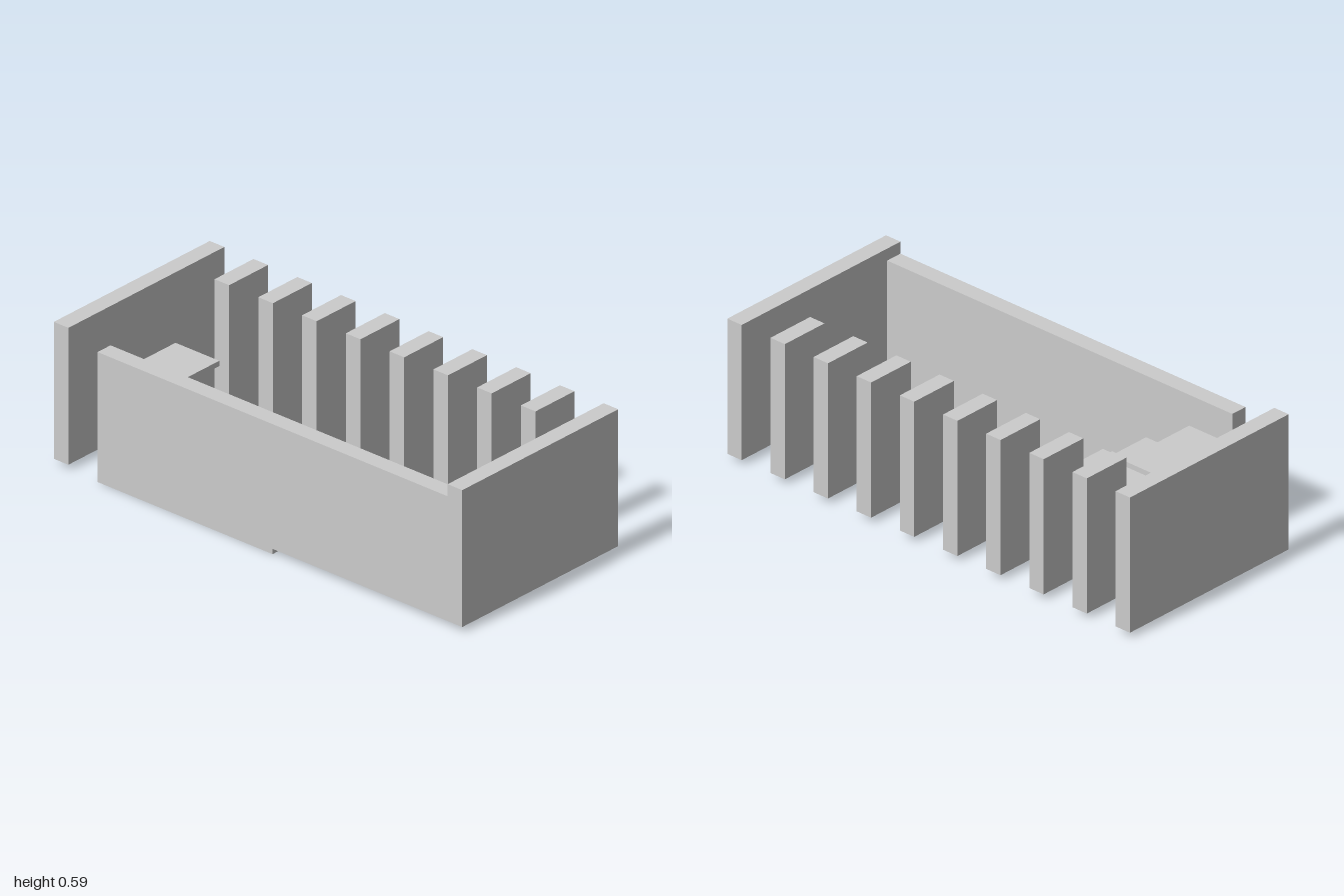
import * as THREE from 'three';

// Everything sits on a module of 1/14: 12 wide, 28 long
const U = 1 / 14;
const BASE = 0.3, TOP = 8.2, STEP = 1.8;

export function createModel() {
  const model = new THREE.Group();
  model.name = 'slattedEnclosure';
  const material = new THREE.MeshStandardMaterial({ color: 0xcccccc, flatShading: true });

  // Box given by its extents, in modules
  function block(name, [x0, x1], [y0, y1], [z0, z1]) {
    const geometry = new THREE.BoxGeometry((x1 - x0) * U, (y1 - y0) * U, (z1 - z0) * U);
    const mesh = new THREE.Mesh(geometry, material);
    mesh.position.set((x0 + x1) / 2 * U, (y0 + y1) / 2 * U, (z0 + z1) / 2 * U);
    mesh.name = name;
    model.add(mesh);
  }

  // End panels and the lower long side wall
  block('frontPanel', [-6, 6], [BASE, TOP], [13, 14]);
  block('backPanel', [-6, 6], [BASE, TOP], [-14, -13]);
  block('sideWall', [-6, -5], [BASE, 7.5], [-11, 13]);

  // Row of upright slats on the open side
  for (let i = 0; i < 8; i++) {
    const z = -11 + 3 * i;
    block('slat' + (i + 1), [3, 6], [BASE, TOP], [z, z + 1]);
  }

  // Base slab, running beneath the side wall
  block('baseSlab', [-6, 0], [0, BASE], [-11, 1]);

  // Shelves, each shorter than the one below
  for (let i = 1; i <= 3; i++) {
    const y = STEP * i;
    block('shelf' + i, [-5, 0], [y, y + BASE], [-11, 1 - 3 * i]);
  }

  return model;
}
